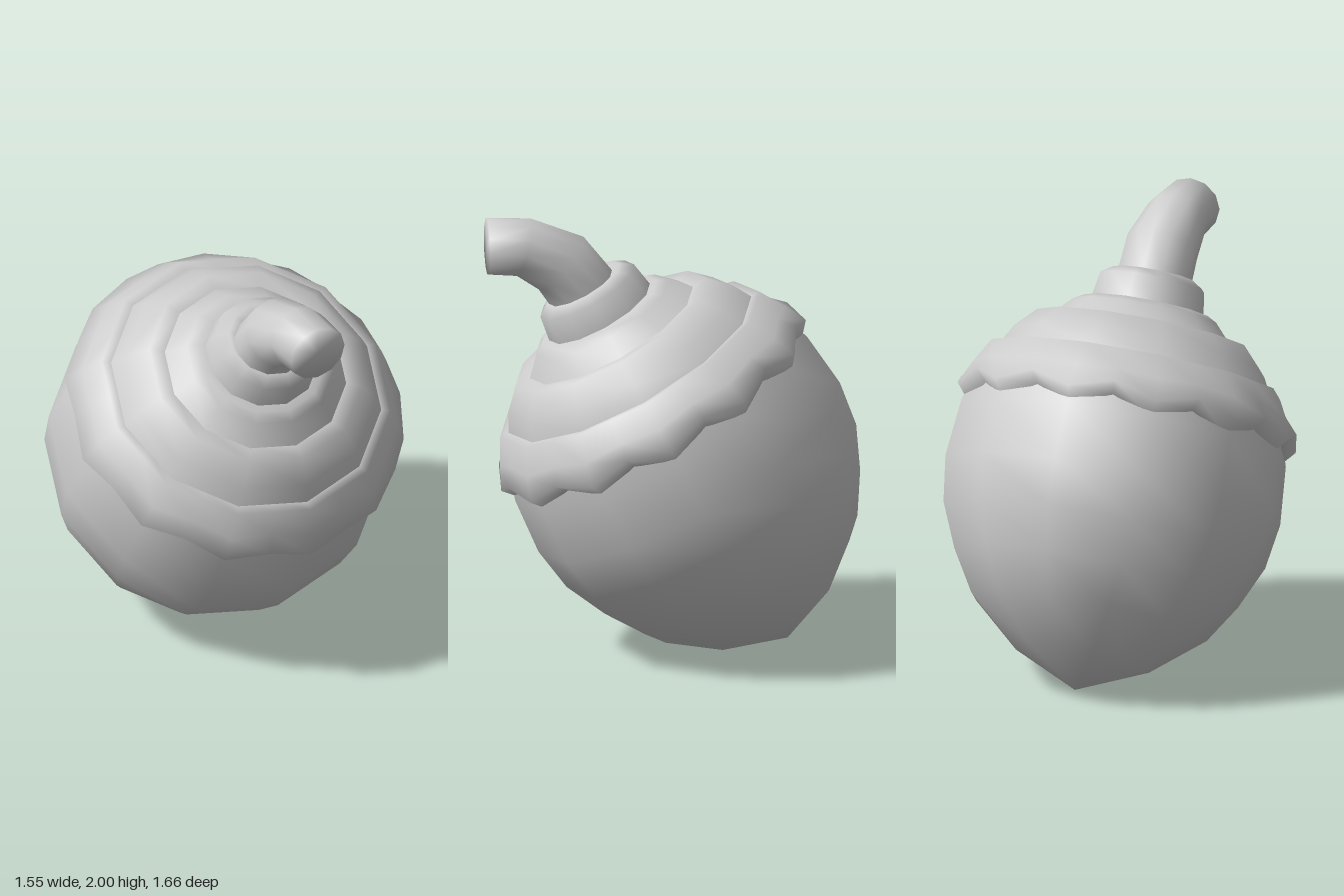
import * as THREE from 'three';
import { mergeVertices } from 'three/addons/utils/BufferGeometryUtils.js';

const material = new THREE.MeshStandardMaterial({ color: 0xcccccc, side: THREE.DoubleSide });

// Lathe a [radius, height] profile, optionally move its vertices, weld the seam and smooth it
function turned(name, profile, segments = 12, move) {
  let geo = new THREE.LatheGeometry(profile.map(([r, y]) => new THREE.Vector2(r, y)), segments);
  geo.deleteAttribute('uv');
  geo.deleteAttribute('normal');
  if (move) {
    const pos = geo.attributes.position;
    const v = new THREE.Vector3();
    for (let i = 0; i < pos.count; i++) {
      v.fromBufferAttribute(pos, i);
      move(v, i % profile.length);
      pos.setXYZ(i, v.x, v.y, v.z);
    }
  }
  geo = mergeVertices(geo, 1e-4);
  geo.computeVertexNormals();
  const mesh = new THREE.Mesh(geo, material);
  mesh.name = name;
  return mesh;
}

export function createModel() {
  const model = new THREE.Group();
  model.name = 'acorn';

  // Nut and cap share an axis that leans towards the front
  const leaning = new THREE.Group();
  leaning.name = 'nutAndCap';
  leaning.rotation.x = 0.503;
  leaning.position.set(0, 0.03, -0.51);
  model.add(leaning);

  leaning.add(turned('nut', [
    [0, 0], [0.312, 0.143], [0.54, 0.335], [0.65, 0.51],
    [0.737, 0.705], [0.767, 0.91], [0.743, 1.17], [0.68, 1.36],
  ]));

  // Lowest cap tier: twelve-sided, with its rim pulled up between twelve teeth
  const lift = [0.07, 0.055, 0.015, 0, 0];
  leaning.add(turned('capRim', [
    [0.715, 1.17], [0.775, 1.24], [0.725, 1.345], [0.66, 1.46], [0.61, 1.458],
  ], 24, (v, row) => {
    const column = Math.round(Math.atan2(v.x, v.z) / (Math.PI / 12));
    if (column % 2 === 0) return;
    const flat = row < 2 ? 0.98 : Math.cos(Math.PI / 12);
    v.x *= flat;
    v.z *= flat;
    v.y += lift[row];
  }));

  // Upper cap tiers and the collar round the stem
  leaning.add(turned('capMiddleTier', [[0.62, 1.455], [0.575, 1.54], [0.485, 1.634], [0.41, 1.63]]));
  leaning.add(turned('capTopTier', [[0.42, 1.625], [0.335, 1.715], [0.29, 1.74], [0.23, 1.74]]));
  leaning.add(turned('stemCollar', [[0.257, 1.735], [0.238, 1.855], [0.185, 1.89], [0.14, 1.88]]));

  // Bent stem: each ring is [z, y, lean from vertical, radius]
  const rings = [
    [0.37, 1.60, 0.503, 0.158],
    [0.412, 1.67, 0.503, 0.158],
    [0.50, 1.785, 0.87, 0.155],
    [0.665, 1.863, 1.30, 0.134],
    [0.83, 1.872, Math.PI / 2, 0.128],
    [0.83, 1.872, Math.PI / 2, 0],
  ];
  model.add(turned('stem', rings.map((ring, i) => [ring[3], i]), 12, (v, row) => {
    const [z, y, lean] = rings[row];
    v.set(v.x * 1.08, y - v.z * Math.sin(lean), z + v.z * Math.cos(lean));
  }));

  return model;
}
